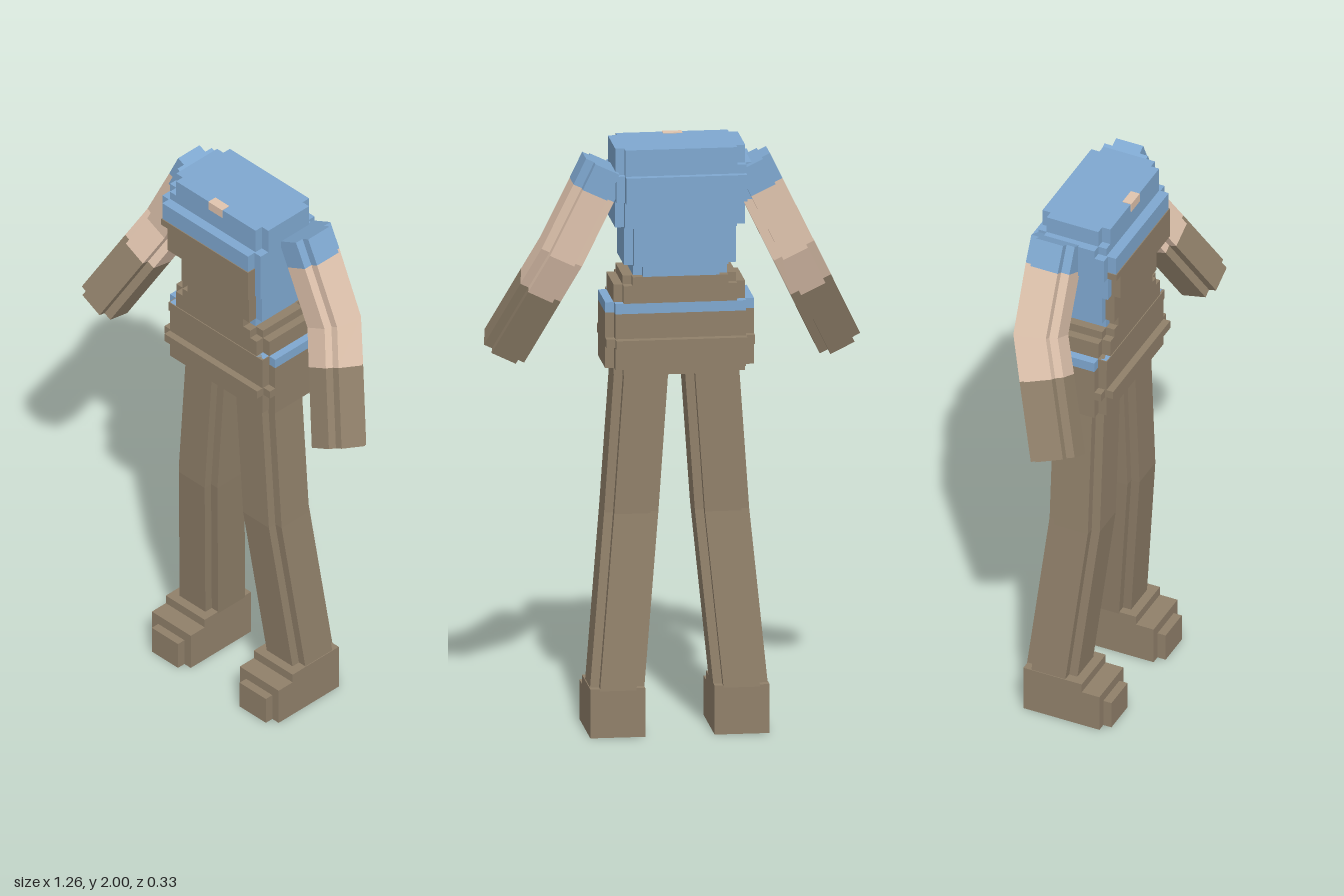
import * as THREE from 'three';

const NOTCH = 0.03;
const DOWN = new THREE.Vector3(0, -1, 0);

const paint = (name, color) => {
  const m = new THREE.MeshStandardMaterial({ color });
  m.name = name;
  return m;
};

// Rectangle with stepped corners, placed square to direction d
function ring(center, d, hw, hd) {
  const n = d.clone().normalize();
  const u = new THREE.Vector3(-n.y, n.x, 0).normalize();
  const v = n.clone().cross(u);
  const a = hw - NOTCH, b = hd - NOTCH;
  const outline = [[hw, -b], [hw, b], [a, b], [a, hd], [-a, hd], [-a, b],
    [-hw, b], [-hw, -b], [-a, -b], [-a, -hd], [a, -hd], [a, -b]];
  return {
    center,
    points: outline.map(([x, y]) => center.clone().addScaledVector(u, x).addScaledVector(v, y)),
  };
}

// Faceted solid joining a run of rings, capped at both ends
function loft(rings) {
  const pos = [];
  const tri = (...pts) => pts.forEach((p) => pos.push(p.x, p.y, p.z));
  const first = rings[0], last = rings[rings.length - 1];
  for (let i = 0; i < 12; i++) {
    const j = (i + 1) % 12;
    for (let k = 0; k < rings.length - 1; k++) {
      const A = rings[k].points, B = rings[k + 1].points;
      tri(A[i], A[j], B[j]);
      tri(A[i], B[j], B[i]);
    }
    tri(first.center, first.points[j], first.points[i]);
    tri(last.center, last.points[i], last.points[j]);
  }
  const g = new THREE.BufferGeometry();
  g.setAttribute('position', new THREE.Float32BufferAttribute(pos, 3));
  g.computeVertexNormals();
  return g;
}

function boxGeometry(x0, x1, y0, y1, z0, z1) {
  return new THREE.BoxGeometry(x1 - x0, y1 - y0, z1 - z0)
    .translate((x0 + x1) / 2, (y0 + y1) / 2, (z0 + z1) / 2);
}

export function createModel() {
  const model = new THREE.Group();
  model.name = 'figure';
  const brown = paint('brown cloth', 0x90806a);
  const blue = paint('blue shirt', 0x7fa8d0);
  const skin = paint('skin', 0xe0c4ae);

  const add = (parent, name, geometry, material) => {
    const mesh = new THREE.Mesh(geometry, material);
    mesh.name = name;
    parent.add(mesh);
  };
  const group = (name) => {
    const g = new THREE.Group();
    g.name = name;
    model.add(g);
    return g;
  };

  // Torso in stepped layers: y0, y1, x0, x1, z0, z1, colour, brown apron on the front
  const torso = group('torso');
  const layers = [
    ['hem', 1.23, 1.25, -0.225, 0.215, -0.135, 0.08, brown],
    ['hips', 1.25, 1.325, -0.255, 0.243, -0.135, 0.11, brown],
    ['belt', 1.325, 1.355, -0.255, 0.243, -0.165, 0.135, brown],
    ['upperHips', 1.355, 1.44, -0.255, 0.243, -0.135, 0.11, brown],
    ['shirtStripe', 1.44, 1.475, -0.255, 0.243, -0.135, 0.11, blue, true],
    ['lowerWaist', 1.475, 1.535, -0.225, 0.215, -0.135, 0.11, brown],
    ['waist', 1.535, 1.565, -0.195, 0.185, -0.135, 0.11, brown],
    ['narrowWaist', 1.565, 1.6, -0.165, 0.15, -0.135, 0.11, blue, true],
    ['ribs', 1.6, 1.73, -0.195, 0.18, -0.135, 0.11, blue, true],
    ['chest', 1.73, 1.82, -0.225, 0.21, -0.135, 0.145, blue, true],
    ['upperChest', 1.82, 1.845, -0.255, 0.21, -0.165, 0.145, blue, true],
    ['shoulderBand', 1.845, 1.91, -0.255, 0.21, -0.165, 0.145, blue],
    ['collarBase', 1.91, 1.94, -0.255, 0.21, -0.14, 0.11, blue],
    ['collar', 1.94, 2.0, -0.225, 0.21, -0.14, 0.11, blue],
  ];
  for (const [name, y0, y1, x0, x1, z0, z1, material, apron] of layers) {
    const rings = [y1, y0].map((y) => ring(
      new THREE.Vector3((x0 + x1) / 2, y, (z0 + z1) / 2), DOWN, (x1 - x0) / 2, (z1 - z0) / 2));
    add(torso, name, loft(rings), material);
    if (apron) {
      const inset = NOTCH - 0.003;
      add(torso, name + 'Apron',
        boxGeometry(x0 + inset, x1 - inset, y0, y1, z1 - NOTCH, z1 + 0.003), brown);
    }
  }
  add(torso, 'throat', boxGeometry(-0.04, 0.025, 1.97, 2.002, 0.08, 0.113), skin);

  for (const [side, s] of [['left', 1], ['right', -1]]) {
    const vec = (x, y, z) => new THREE.Vector3(s * x, y, z);

    // Arm: sleeve, bare arm bent at the elbow, glove
    const arm = group(side + 'Arm');
    const upper = vec(0.14, -0.295, 0).normalize();
    const lower = vec(0.17, -0.35, 0.145).normalize();
    const bend = upper.clone().add(lower);
    const armRing = (p, d) => ring(p, d, 0.075, 0.08);
    const shoulder = armRing(vec(0.24, 1.937, -0.06), upper);
    const cuff = armRing(vec(0.282, 1.85, -0.06), upper);
    const elbow = armRing(vec(0.385, 1.64, -0.055), bend);
    const wrist = armRing(vec(0.445, 1.517, -0.004), lower);
    const hand = armRing(vec(0.555, 1.29, 0.09), lower);
    add(arm, 'sleeve', loft([shoulder, cuff]), blue);
    add(arm, 'bareArm', loft([cuff, elbow, wrist]), skin);
    add(arm, 'glove', loft([wrist, hand]), brown);

    // Leg, slightly bent at the knee
    const leg = group(side + 'Leg');
    const legRing = (x, y, z) => ring(vec(x, y, z), DOWN, 0.091, 0.0925);
    add(leg, 'trouserLeg', loft([
      legRing(0.118, 1.24, -0.0125),
      legRing(0.152, 0.75, -0.0125),
      legRing(0.207, 0.16, -0.07),
    ]), brown);

    // Stepped boot
    const boot = (name, hw, y0, y1, z0, z1) =>
      add(leg, name, boxGeometry(s * 0.208 - hw, s * 0.208 + hw, y0, y1, z0, z1), brown);
    boot('boot', 0.092, 0, 0.135, -0.16, 0.12);
    boot('bootTop', 0.092, 0.135, 0.167, -0.16, 0.055);
    boot('toe', 0.062, 0, 0.1, 0.12, 0.15);
  }
  return model;
}
